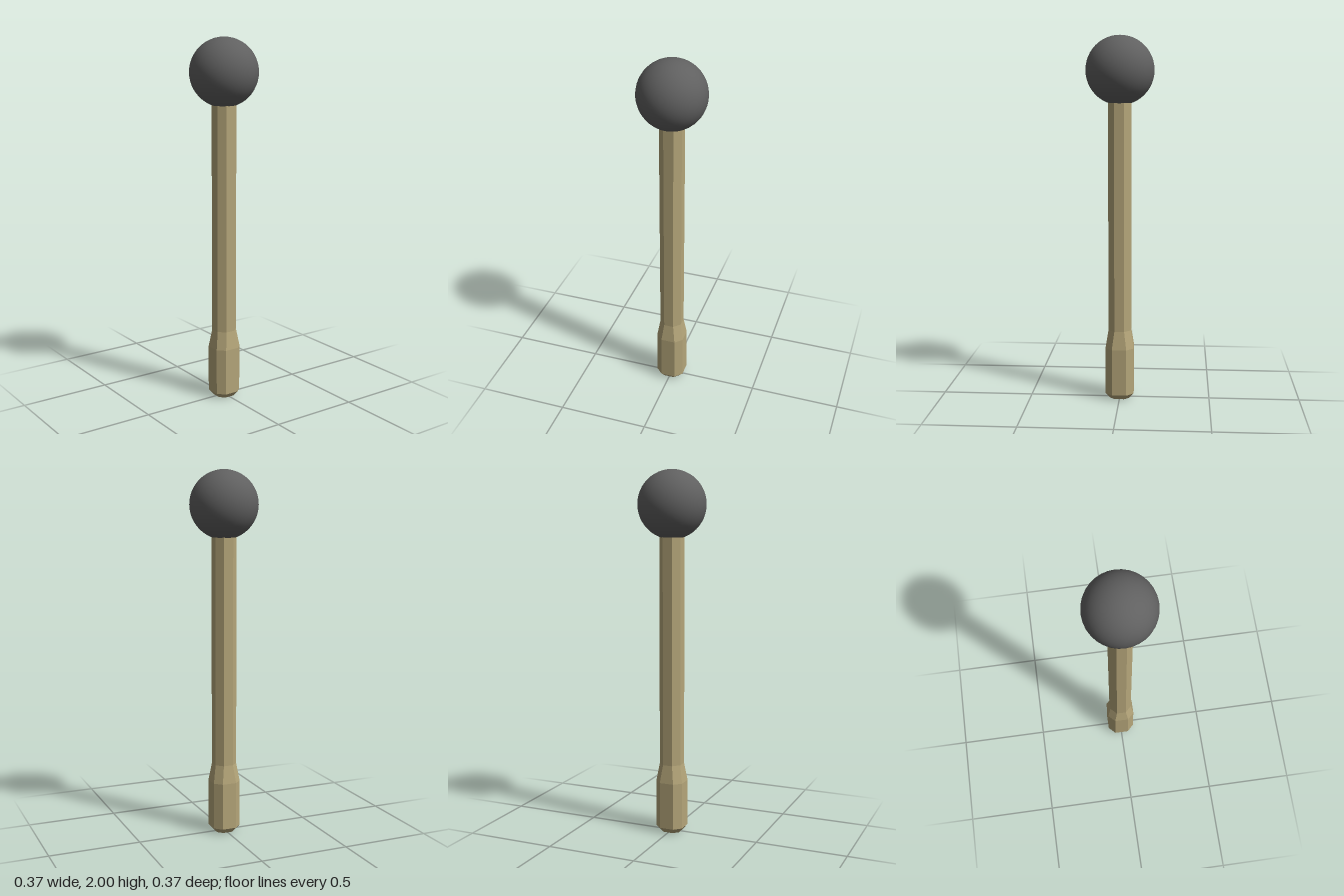
import * as THREE from 'three';

// Eight corners of a square with cut corners: a = half width, e = half length of a main side
function octagon(y, a, e) {
  return [[e, a], [a, e], [a, -e], [e, -a], [-e, -a], [-a, -e], [-a, e], [-e, a]]
    .map(([x, z]) => [x, y, z]);
}

// Skin a stack of rings from bottom to top and cap both ends
function loft(rings) {
  const pos = [];
  const n = rings[0].length;
  for (let r = 0; r < rings.length - 1; r++) {
    const lo = rings[r], hi = rings[r + 1];
    for (let i = 0; i < n; i++) {
      const j = (i + 1) % n;
      pos.push(...lo[i], ...lo[j], ...hi[j], ...lo[i], ...hi[j], ...hi[i]);
    }
  }
  const bottom = rings[0], top = rings[rings.length - 1];
  for (let i = 1; i < n - 1; i++) {
    pos.push(...bottom[0], ...bottom[i + 1], ...bottom[i]);
    pos.push(...top[0], ...top[i], ...top[i + 1]);
  }
  const geo = new THREE.BufferGeometry();
  geo.setAttribute('position', new THREE.Float32BufferAttribute(pos, 3));
  geo.computeVertexNormals();
  return geo;
}

export function createModel() {
  const group = new THREE.Group();
  group.name = 'mallet';
  const wood = new THREE.MeshStandardMaterial({ color: 0xb5a67a, flatShading: true });
  const felt = new THREE.MeshStandardMaterial({ color: 0x606060 });

  // Chamfered grip tapering into the shaft, which ends inside the head
  const handle = new THREE.Mesh(loft([
    octagon(0, 0.053, 0.027),
    octagon(0.03, 0.078, 0.04),
    octagon(0.29, 0.078, 0.04),
    octagon(0.39, 0.062, 0.027),
    octagon(1.67, 0.062, 0.027),
  ]), wood);
  handle.name = 'handle';
  group.add(handle);

  // Round head
  const head = new THREE.Mesh(new THREE.SphereGeometry(0.185, 32, 24), felt);
  head.name = 'head';
  head.position.y = 1.815;
  group.add(head);

  return group;
}
